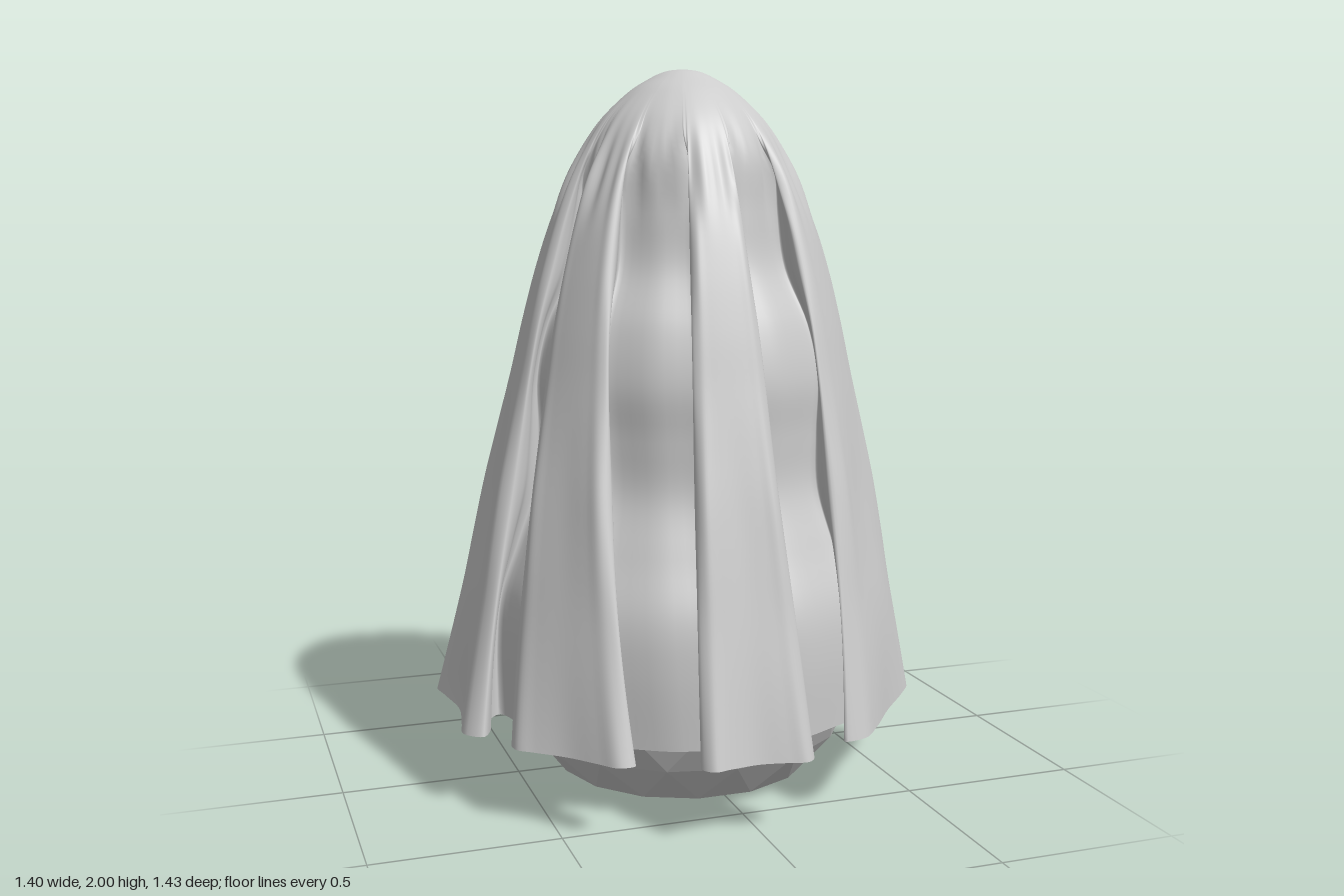
import * as THREE from 'three';

const RAD = Math.PI / 180;

// Radius profiles of the drape, sharing the same heights: fold crests, and valleys
// that sink between the three stacked balls
const HEIGHTS = [2, 1.993, 1.97, 1.93, 1.85, 1.75, 1.6, 1.45, 1.3, 1.15, 1, 0.85, 0.7, 0.55, 0.4, 0.205];
const CREST = [0, 0.05, 0.1, 0.16, 0.24, 0.3, 0.367, 0.417, 0.457, 0.492, 0.53, 0.568, 0.6, 0.63, 0.665, 0.712];
const VALLEY = [0, 0.05, 0.1, 0.16, 0.235, 0.28, 0.295, 0.32, 0.395, 0.43, 0.425, 0.43, 0.485, 0.545, 0.563, 0.56];
const profile = (radii) => new THREE.SplineCurve(radii.map((r, i) => new THREE.Vector2(r, HEIGHTS[i])));

// Each fold: angles at the hem and top, dip of its face, reach, and bow of the gap after it
const FOLDS = [
  { hem: [12, 67], top: [23, 54], dip: 0.58, reach: 0.94, bow: 0 },
  { hem: [79, 105], top: [83, 106], dip: 0.8, reach: 1, bow: 0 },
  { hem: [119, 151], top: [138, 162], dip: 0.8, reach: 0.98, bow: 0.01 },
  { hem: [159, 202], top: [173, 203], dip: 0.62, reach: 1.02, bow: 0.015 },
  { hem: [217, 262], top: [215, 248], dip: 1.02, reach: 1.03, bow: 0.06 },
  { hem: [274, 311], top: [288, 304], dip: 0.9, reach: 1.02, bow: 0.06 },
  { hem: [325, 353], top: [323, 349], dip: 0.9, reach: 1.0, bow: 0.015 },
];

// Closed horizontal section of the cloth with an omega-shaped loop per fold
function clothSection(y, crest, valley) {
  const { lerp, clamp, smoothstep } = THREE.MathUtils;
  const fade = smoothstep(1.84 - y, 0, 0.17);
  const spread = Math.pow(clamp((1.75 - y) / 1.55, 0, 1), 1.35);
  const points = [];
  const add = (angle, r) => points.push(
    new THREE.Vector3(r * Math.cos(angle * RAD), y, r * Math.sin(angle * RAD)));

  FOLDS.forEach((fold, i) => {
    const a = lerp(fold.top[0], fold.hem[0], spread);
    const b = lerp(fold.top[1], fold.hem[1], spread);
    const width = b - a;
    const tuck = lerp(-3, Math.min(13, width * 0.36) * (0.4 + 0.6 * spread), fade);
    const depth = crest * (1 + (fold.reach - 1) * spread) - valley;
    const at = (k) => valley + depth * k;
    const dip = lerp(1, lerp(1, fold.dip, 0.155 / Math.max(depth, 0.155)), spread);
    // Rolled edge, face, and the other rolled edge
    add(a + tuck, at(0.08));
    add(a + tuck * 0.8, at(0.32));
    add(a + tuck * 0.25, at(0.55));
    add(a, at(0.82));
    add(a + width * 0.1, at(1));
    add(a + width * 0.25, at((1 + dip) / 2));
    add(a + width * 0.5, at(dip));
    add(b - width * 0.25, at((1 + dip) / 2));
    add(b - width * 0.1, at(1));
    add(b, at(0.82));
    add(b - tuck * 0.25, at(0.55));
    add(b - tuck * 0.8, at(0.32));
    add(b - tuck, at(0.08));
    // Valley resting on the balls before the next fold
    const next = FOLDS[(i + 1) % FOLDS.length];
    let c = lerp(next.top[0], next.hem[0], spread);
    if (c < b) c += 360;
    add((b + c) / 2, valley + fold.bow * spread * spread);
  });
  return new THREE.CatmullRomCurve3(points, true, 'centripetal');
}

function clothGeometry() {
  const rows = 90, columns = FOLDS.length * 14 * 5;
  const crest = profile(CREST), valley = profile(VALLEY);
  const positions = [], indices = [];
  const p = new THREE.Vector3();
  for (let j = 0; j <= rows; j++) {
    const t = j / rows;
    const c = crest.getPoint(t), v = valley.getPoint(t);
    const section = clothSection(c.y, c.x, v.x);
    // Fine gathers where the folds begin
    const gather = 0.005 * Math.exp(-Math.pow((c.y - 1.7) / 0.1, 2));
    for (let i = 0; i < columns; i++) {
      section.getPoint(i / columns, p);
      const angle = Math.atan2(p.z, p.x);
      const k = 1 + gather * (Math.sin(angle * 37) + Math.sin(angle * 23 + 1)) / Math.max(c.x, 0.1);
      positions.push(p.x * k, p.y, p.z * k);
      if (j < rows) {
        const n = (i + 1) % columns;
        const a = j * columns + i, b = j * columns + n;
        if (j > 0) indices.push(a, b, a + columns);
        indices.push(b, b + columns, a + columns);
      }
    }
  }
  const geometry = new THREE.BufferGeometry();
  geometry.setAttribute('position', new THREE.Float32BufferAttribute(positions, 3));
  geometry.setIndex(indices);
  geometry.computeVertexNormals();
  return geometry;
}

// Faceted ball, cut flat at the given height below its centre; each ring turns half a side
function ballGeometry(radius, cut) {
  const sides = 15, rings = 9;
  const start = -Math.asin(cut / radius);
  const points = [new THREE.Vector2(0, -cut)];
  for (let i = 0; i <= rings; i++) {
    const angle = THREE.MathUtils.lerp(start, Math.PI / 2, i / rings);
    points.push(new THREE.Vector2(radius * Math.cos(angle), radius * Math.sin(angle)));
  }
  const geometry = new THREE.LatheGeometry(points, sides);
  const position = geometry.attributes.position;
  const p = new THREE.Vector3(), up = new THREE.Vector3(0, 1, 0);
  for (let i = 0; i < position.count; i++) {
    p.fromBufferAttribute(position, i);
    p.applyAxisAngle(up, (i % points.length) * Math.PI / sides);
    position.setXYZ(i, p.x, p.y, p.z);
  }
  geometry.computeVertexNormals();
  return geometry;
}

export function createModel() {
  const group = new THREE.Group();
  group.name = 'drapedFigure';

  const cloth = new THREE.Mesh(clothGeometry(),
    new THREE.MeshStandardMaterial({ color: 0xcccccc, side: THREE.DoubleSide }));
  cloth.name = 'drapedCloth';
  group.add(cloth);

  // Three stacked balls under the cloth: name, radius, centre height, cut
  const ballMaterial = new THREE.MeshStandardMaterial({ color: 0xcccccc, flatShading: true });
  for (const [name, radius, height, cut] of [
    ['baseBall', 0.545, 0.4, 0.4],
    ['middleBall', 0.415, 1.12, 0.4],
    ['headBall', 0.275, 1.7, 0.26],
  ]) {
    const ball = new THREE.Mesh(ballGeometry(radius, cut), ballMaterial);
    ball.name = name;
    ball.position.y = height;
    group.add(ball);
  }
  return group;
}
